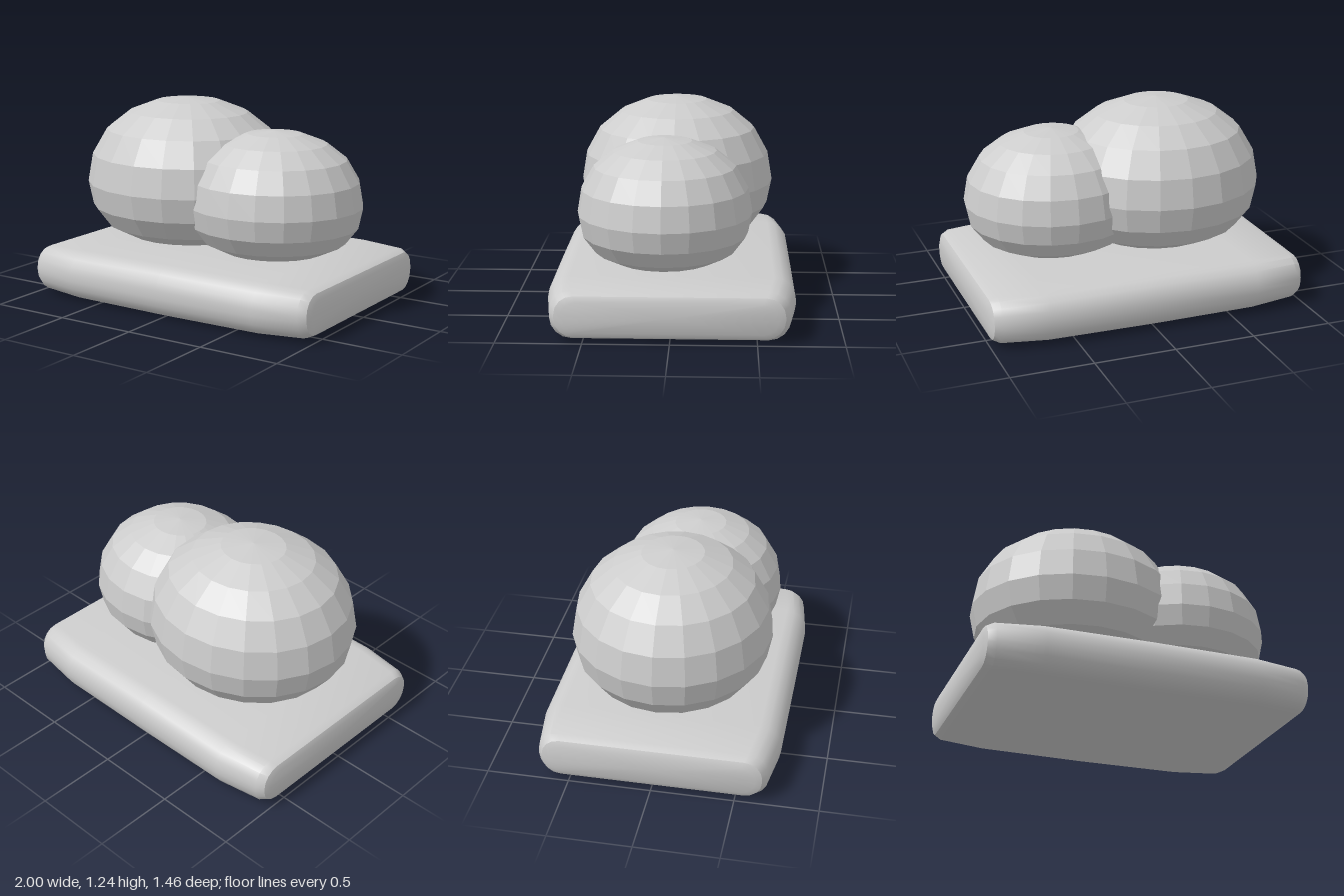
import * as THREE from 'three';
import { toCreasedNormals } from 'three/addons/utils/BufferGeometryUtils.js';

// Rounded slab, lofted along x from rounded rectangles [x, half depth, bottom, top, corner radius]
function slabGeometry() {
  const half = [
    [0, 0.73, 0, 0.31, 0.13],
    [0.66, 0.73, 0.005, 0.306, 0.13],
    [0.94, 0.69, 0.015, 0.297, 0.125],
    [0.985, 0.66, 0.035, 0.278, 0.11],
    [1, 0.62, 0.065, 0.245, 0.085],
  ];
  const sections = [...half.slice(1).reverse().map(([x, ...rest]) => [-x, ...rest]), ...half];
  const steps = 4, count = 4 * (steps + 1);
  const positions = [], index = [];
  for (const [x, hz, y0, y1, r] of sections) {
    const corners = [[hz - r, y1 - r], [r - hz, y1 - r], [r - hz, y0 + r], [hz - r, y0 + r]];
    corners.forEach(([z, y], q) => {
      for (let k = 0; k <= steps; k++) {
        const a = (q + k / steps) * Math.PI / 2;
        positions.push(x, y + r * Math.sin(a), z + r * Math.cos(a));
      }
    });
  }
  const last = (sections.length - 1) * count;
  const centre = positions.length / 3;
  positions.push(-1, 0.155, 0, 1, 0.155, 0);
  for (let j = 0; j < count; j++) {
    const n = (j + 1) % count;
    for (let i = 0; i < last; i += count) {
      index.push(i + j, i + count + j, i + n, i + n, i + count + j, i + count + n);
    }
    index.push(centre, j, n, centre + 1, last + n, last + j);
  }
  const geometry = new THREE.BufferGeometry();
  geometry.setAttribute('position', new THREE.Float32BufferAttribute(positions, 3));
  geometry.setIndex(index);
  return toCreasedNormals(geometry, 0.6);
}

// Faceted boulder of unit radius and unit height, flatter below than above
function boulderGeometry() {
  const heights = [0, 0.011, 0.05, 0.125, 0.255, 0.418, 0.612, 0.782, 0.902, 0.977, 1];
  const profile = heights.map((y, i) =>
    new THREE.Vector2(i % 10 ? Math.sin(i * Math.PI / 10) : 0, y));
  return new THREE.LatheGeometry(profile, 20);
}

export function createModel() {
  const group = new THREE.Group();
  const stone = new THREE.MeshStandardMaterial({ color: 0xcccccc });
  const facetedStone = stone;

  const slab = new THREE.Mesh(slabGeometry(), stone);
  slab.name = 'baseSlab';
  group.add(slab);

  // Two overlapping boulders resting on the slab
  const boulder = boulderGeometry().toNonIndexed();
  boulder.computeVertexNormals();
  const addBoulder = (name, position, scale) => {
    const mesh = new THREE.Mesh(boulder, facetedStone);
    mesh.name = name;
    mesh.position.set(...position);
    mesh.scale.set(...scale);
    group.add(mesh);
  };
  addBoulder('largeBoulder', [-0.27, 0.312, 0], [0.655, 0.923, 0.61]);
  addBoulder('smallBoulder', [0.4, 0.312, 0.05], [0.55, 0.774, 0.525]);
  return group;
}
